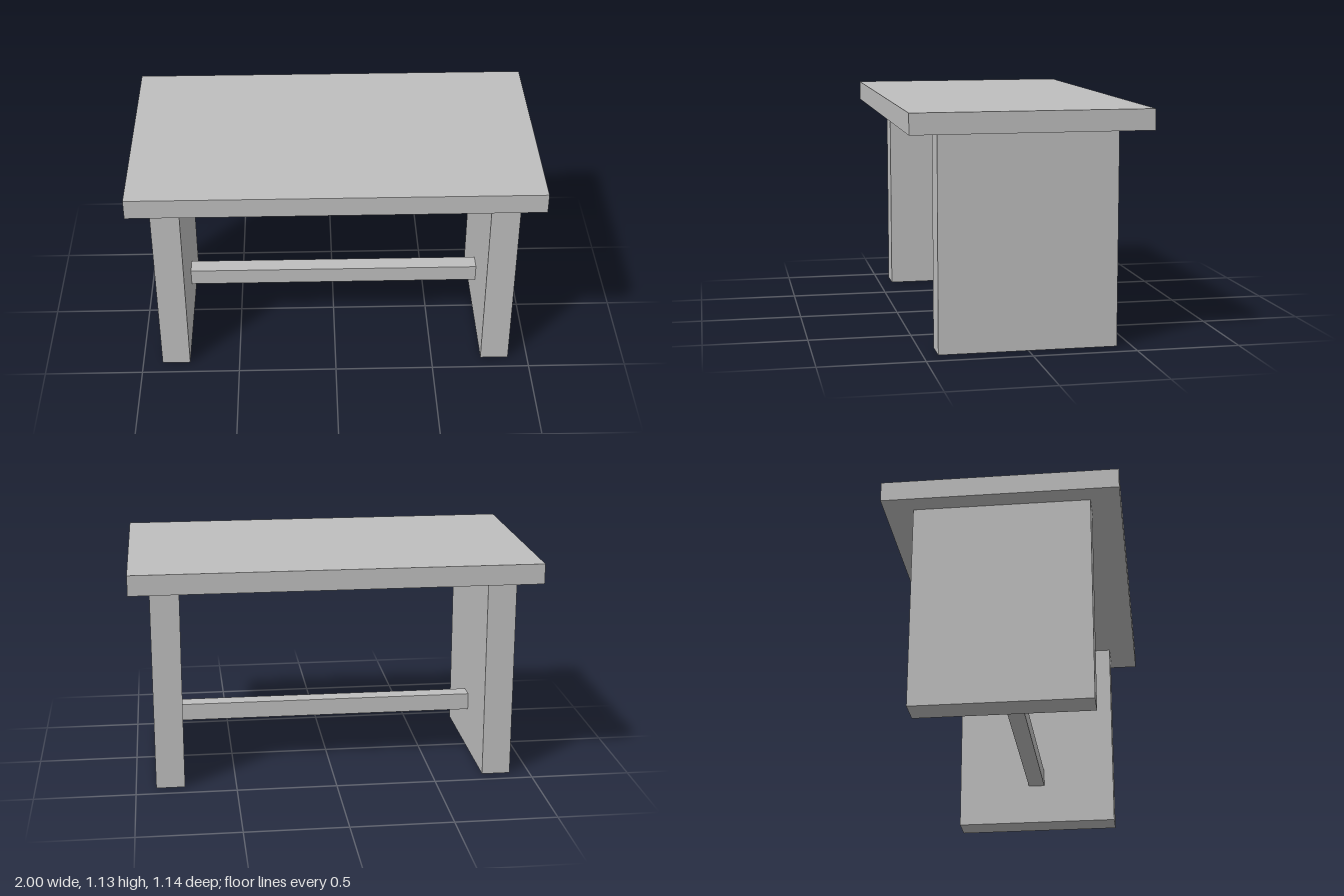
import * as THREE from 'three';

const LEG_HEIGHT = 1.035;
const TOP_THICKNESS = 0.1;

export function createModel() {
  const model = new THREE.Group();
  model.name = 'table';

  const grey = new THREE.MeshStandardMaterial({ color: 0xbfbfbf });
  grey.name = 'light grey';

  const addBox = (name, [w, h, d], [x, y, z]) => {
    const mesh = new THREE.Mesh(new THREE.BoxGeometry(w, h, d), grey);
    mesh.name = name;
    mesh.position.set(x, y, z);
    model.add(mesh);
  };

  // Overhanging table top
  addBox('tableTop', [2, TOP_THICKNESS, 1.142], [0, LEG_HEIGHT + TOP_THICKNESS / 2, 0]);

  // Solid slab legs, mirrored left and right
  for (const [name, side] of [['leftLeg', 1], ['rightLeg', -1]]) {
    addBox(name, [0.143, LEG_HEIGHT, 0.857], [side * 0.8285, LEG_HEIGHT / 2, 0]);
  }

  // Square stretcher joining the inner faces of the legs
  addBox('stretcher', [1.514, 0.086, 0.086], [0, 0.257, 0]);

  return model;
}
